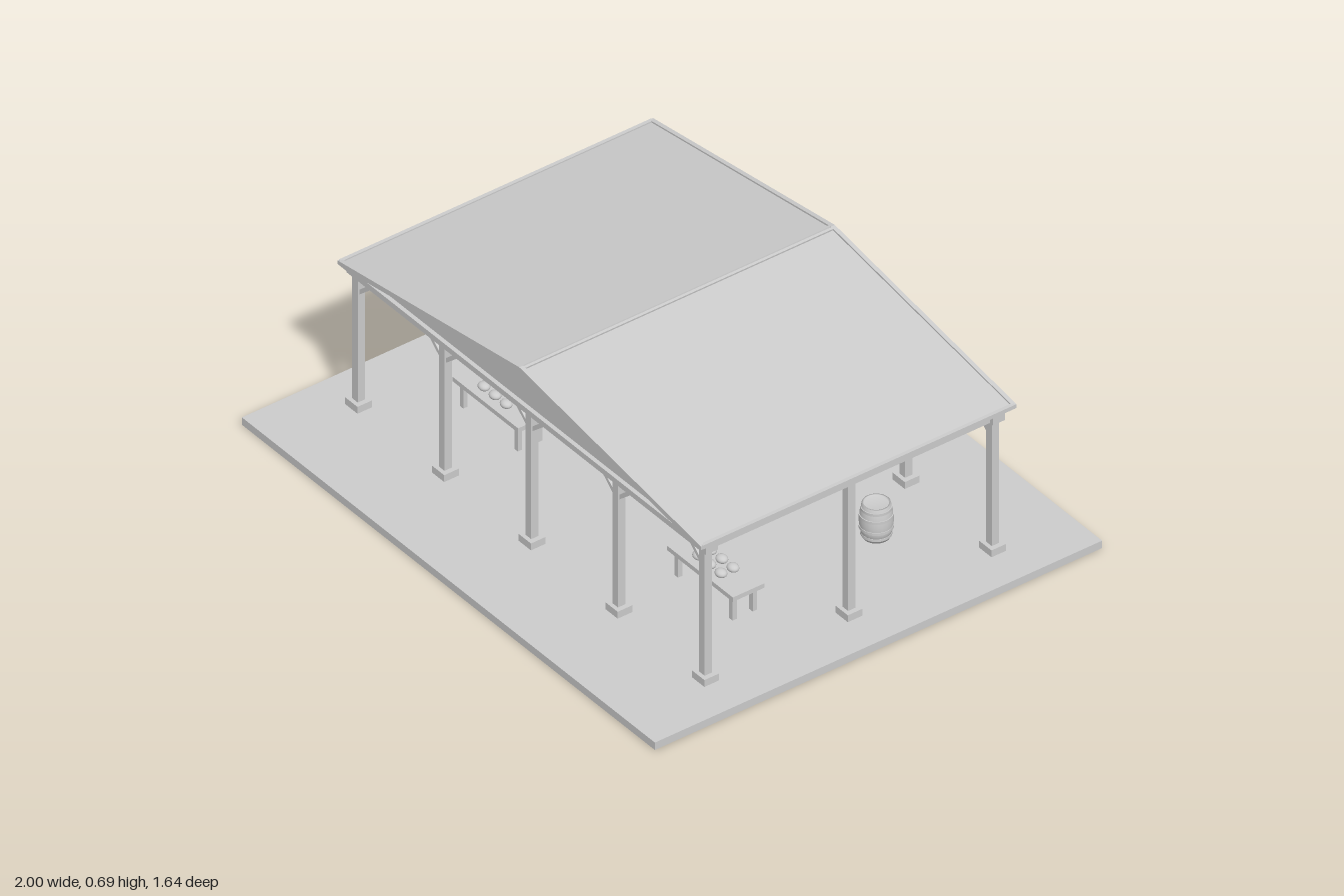
import * as THREE from 'three';

export function createModel() {
  const root = new THREE.Group();
  root.name = 'marketPavilion';
  const grey = new THREE.MeshStandardMaterial({ color: 0xcccccc });
  grey.name = 'light grey';

  const add = (name, geo, x = 0, y = 0, z = 0, parent = root) => {
    const m = new THREE.Mesh(geo, grey);
    m.name = name;
    m.position.set(x, y, z);
    parent.add(m);
    return m;
  };
  // Box from its size and the height of its underside
  const box = (name, w, h, d, x, y, z, parent) =>
    add(name, new THREE.BoxGeometry(w, h, d), x, y + h / 2, z, parent);
  // Outline in x/y, extruded from z0 towards the front
  const prism = (name, pts, z0, depth, hole) => {
    const s = new THREE.Shape(pts.map(p => new THREE.Vector2(...p)));
    if (hole) s.holes.push(new THREE.Path(hole.map(p => new THREE.Vector2(...p))));
    return add(name, new THREE.ExtrudeGeometry(s, { depth, bevelEnabled: false }), 0, 0, z0);
  };

  const floorY = 0.027, beamY = 0.505;
  const frontZ = 0.513, midZ = -0.013, backZ = -0.54;
  box('floorSlab', 2, floorY, 1.64, 0, 0, 0);

  // Posts on square footings
  const post = (x, z) => {
    const g = new THREE.Group();
    g.name = 'post';
    g.position.set(x, 0, z);
    root.add(g);
    box('footing', 0.06, 0.025, 0.054, 0, floorY, 0, g);
    box('shaft', 0.027, beamY - floorY, 0.027, 0, floorY, 0, g);
  };
  const postXs = [-0.84, -0.42, 0, 0.42, 0.84];
  for (const z of [frontZ, backZ]) {
    for (const x of postXs) {
      post(x, z);
      // Diagonal braces up to the header beam
      for (const s of [-1, 1]) {
        if (Math.abs(x + s * 0.1) > 0.9) continue;
        const brace = box('brace', 0.1, 0.013, 0.016, x + s * 0.044, 0.472, z);
        brace.rotation.z = s * 0.72;
      }
    }
    box('headerBeam', 1.74, 0.035, 0.044, 0, beamY, z);
  }
  for (const x of [-0.84, 0.84]) {
    post(x, midZ);
    box('sideBeam', 0.03, 0.026, frontZ - backZ - 0.04, x, beamY, midZ);
  }

  // Roof: two sloping panels, open underneath
  const zFront = 0.56, zBack = -0.597, trim = 0.014;
  const length = zFront - zBack;
  prism('roofPanels', [[-0.872, 0.54], [0, 0.667], [0.872, 0.54], [0.872, 0.549], [0, 0.679], [-0.872, 0.549]],
    zBack + trim, length - 2 * trim);

  // Gable frames with recessed infill
  for (const front of [true, false]) {
    prism('gableFrame',
      [[-0.88, 0.54], [0.88, 0.54], [0.88, 0.553], [0, 0.685], [-0.88, 0.553]],
      front ? zFront - trim : zBack, trim,
      [[-0.74, 0.556], [0, 0.668], [0.74, 0.556]]);
    prism('gableInfill', [[-0.84, 0.541], [0.84, 0.541], [0, 0.672]],
      front ? zFront - 0.03 : zBack + 0.02, 0.01);
  }

  // Eave trims and twin ridge strips
  for (const s of [-1, 1]) {
    box('eaveTrim', 0.012, 0.014, length - 0.01, s * 0.875, 0.54, (zFront + zBack) / 2);
    const ridge = box('ridgeStrip', 0.009, 0.01, length - 0.004, s * 0.006, 0.674, (zFront + zBack) / 2);
    ridge.rotation.z = -s * 0.148;
  }

  const barrelProfile = [[0, 0], [0.042, 0], [0.049, 0.03], [0.052, 0.06], [0.049, 0.09], [0.043, 0.12],
    [0.038, 0.12], [0.038, 0.114], [0, 0.114]].map(p => new THREE.Vector2(...p));
  for (const s of [-1, 1]) {
    // Table with two rows of loaves
    const table = new THREE.Group();
    table.name = 'table';
    table.position.set(s * 0.52, 0, 0.233);
    root.add(table);
    box('tableTop', 0.318, 0.016, 0.116, 0, 0.112, 0, table);
    for (const x of [-0.132, 0.132]) for (const z of [-0.037, 0.037])
      box('tableLeg', 0.017, 0.086, 0.016, x, floorY, z, table);
    for (const x of [-0.054, 0, 0.054]) for (const z of [-0.022, 0.022])
      add('loaf', new THREE.SphereGeometry(1, 16, 10), x, 0.14, z, table).scale.set(0.021, 0.013, 0.018);

    // Barrel with hoops
    const barrel = new THREE.Group();
    barrel.name = 'barrel';
    barrel.position.set(s * 0.58, floorY, -0.31);
    root.add(barrel);
    add('staves', new THREE.LatheGeometry(barrelProfile, 24), 0, 0, 0, barrel);
    for (const [y, r] of [[0.014, 0.0475], [0.04, 0.0525], [0.08, 0.0525], [0.106, 0.0475]])
      add('hoop', new THREE.CylinderGeometry(r, r, 0.009, 24), 0, y, 0, barrel);
  }
  return root;
}
